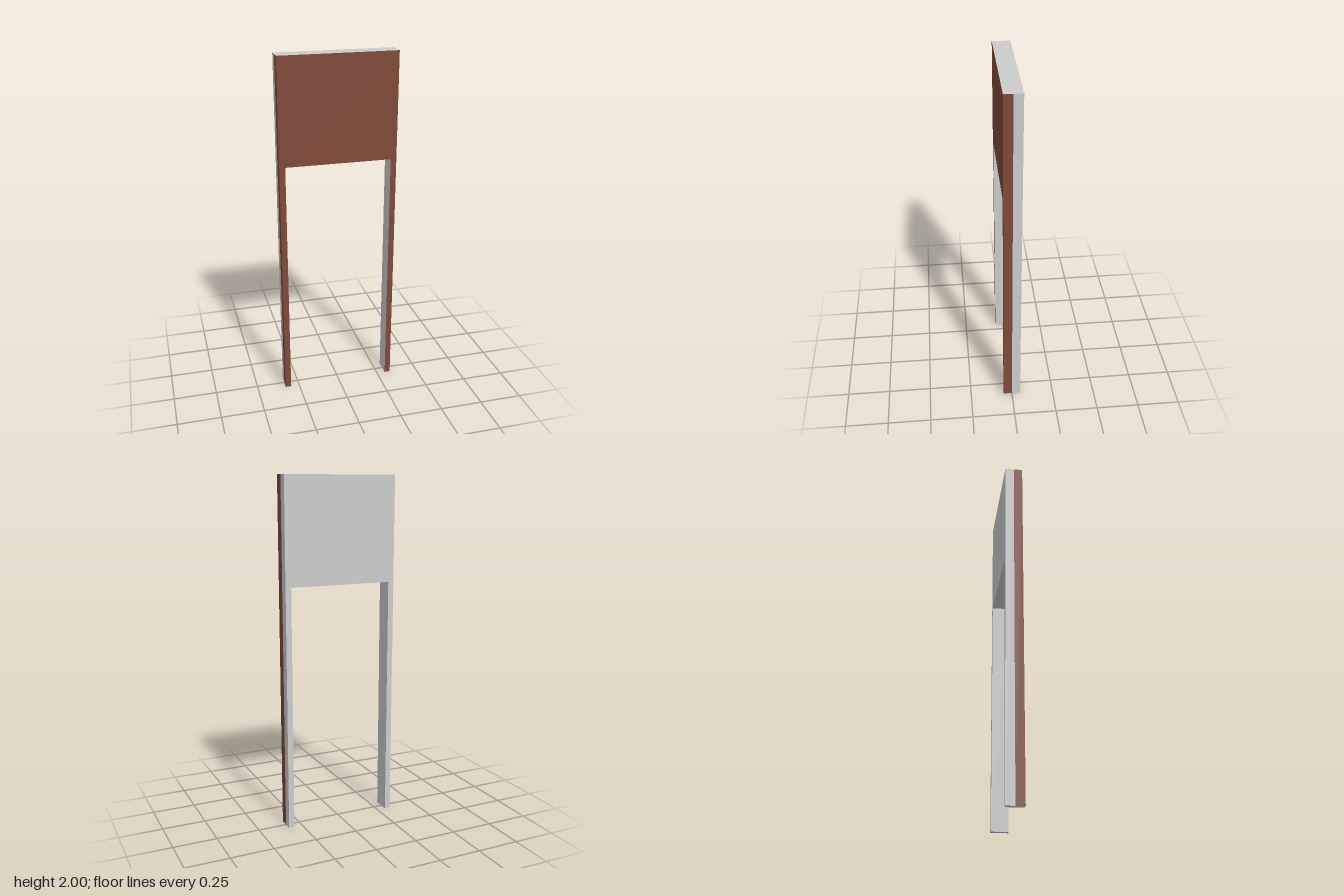
import * as THREE from 'three';

const W = 0.333, INNER = 0.3, TOP = 2, SILL = 1.4, DEPTH = 0.1, SKIN = 0.001;

// Upside-down U: a deep top panel on two thin legs
function archShape(halfWidth) {
  const right = [[INNER, 0], [halfWidth, 0], [halfWidth, TOP]];
  const left = [[-halfWidth, TOP], [-halfWidth, 0], [-INNER, 0]];
  const points = [...right, ...left, [-INNER, SILL], [INNER, SILL]];
  return new THREE.Shape(points.map(([x, y]) => new THREE.Vector2(x, y)));
}

export function createModel() {
  const group = new THREE.Group();
  const grey = new THREE.MeshStandardMaterial({ color: 0xcccccc });
  grey.name = 'pale grey';
  const brown = new THREE.MeshStandardMaterial({ color: 0x804a3a });
  brown.name = 'red brown';

  const add = (name, geometry, material, x, y, z) => {
    const mesh = new THREE.Mesh(geometry, material);
    mesh.name = name;
    mesh.position.set(x, y, z);
    group.add(mesh);
  };
  const arch = (halfWidth, depth) =>
    new THREE.ExtrudeGeometry(archShape(halfWidth), { depth, bevelEnabled: false });

  // Grey core: back, top, opening and rear half of the sides
  add('frame', arch(W - SKIN, DEPTH - SKIN), grey, 0, 0, -DEPTH / 2);

  // Brown facing; its rim stays grey
  add('frontFacing', arch(W, SKIN), [brown, grey], 0, 0, DEPTH / 2 - SKIN);

  for (const [side, label] of [[1, 'left'], [-1, 'right']]) {
    // Outer sides: brown front half, grey rear half
    const strip = () => new THREE.BoxGeometry(SKIN, TOP, DEPTH / 2);
    const x = side * (W - SKIN / 2);
    add(label + 'SideFacing', strip(), brown, x + side * 0.0002, TOP / 2, DEPTH / 4);
    add(label + 'SideRear', strip(), grey, x, TOP / 2, -DEPTH / 4);
  }
  return group;
}
